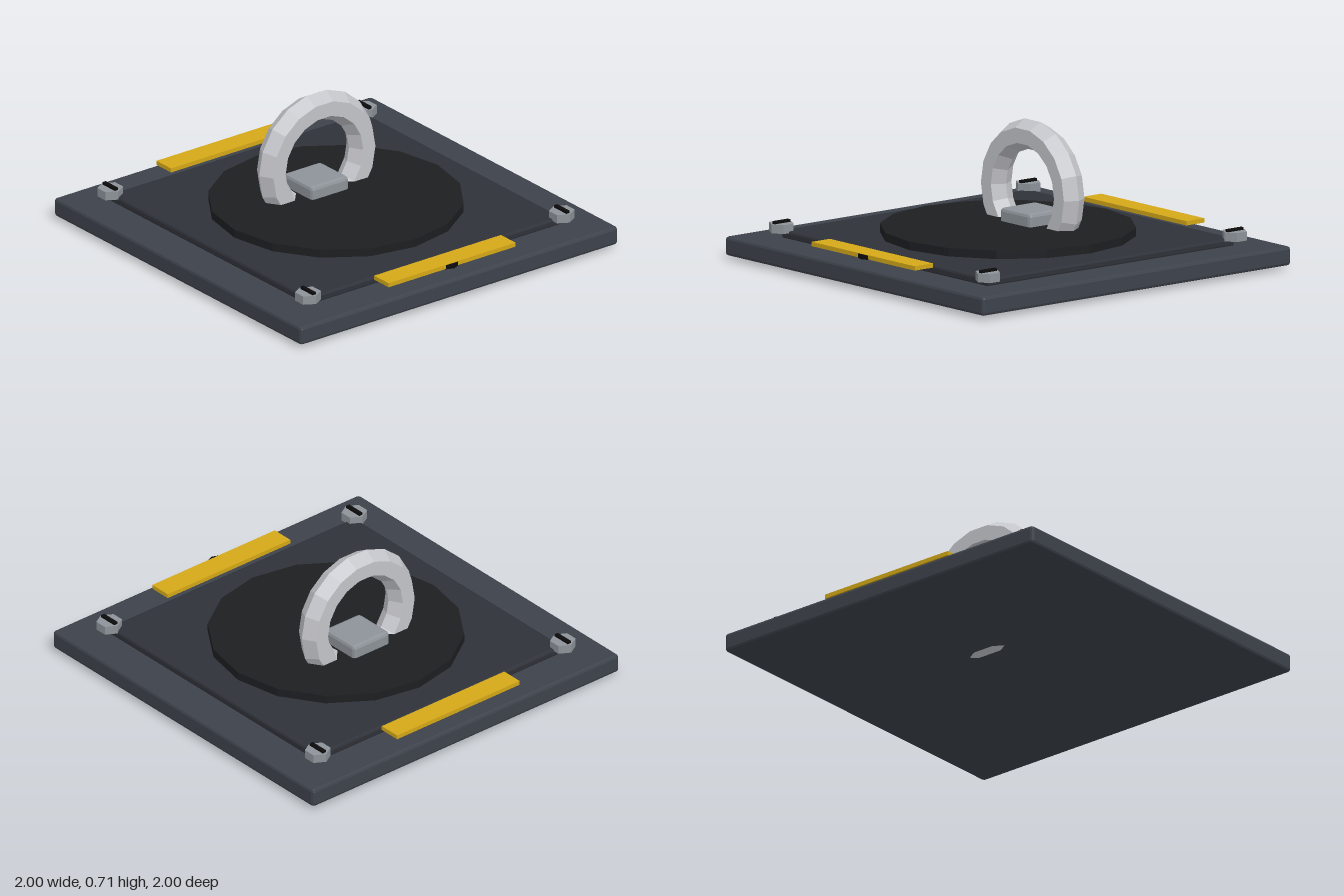
import * as THREE from 'three';
import { RoundedBoxGeometry } from 'three/addons/geometries/RoundedBoxGeometry.js';

const mat = (color) => new THREE.MeshStandardMaterial({ color, flatShading: true });

export function createModel() {
  const group = new THREE.Group();
  const frame = mat(0x3d424b), panel = mat(0x2e3138), dark = mat(0x1c1e21);
  const black = mat(0x0c0c0d), steel = mat(0xc4c5ca), bracket = mat(0x8d9399), yellow = mat(0xd4a817);

  const add = (name, geometry, material, x, y, z, parent = group) => {
    const mesh = new THREE.Mesh(geometry, material);
    mesh.name = name;
    mesh.position.set(x, y, z);
    parent.add(mesh);
    return mesh;
  };
  // Softened box spanning y0 to y1
  const slab = (name, w, y0, y1, d, r, material, z = 0) =>
    add(name, new RoundedBoxGeometry(w, y1 - y0, d, 1, r), material, 0, (y0 + y1) / 2, z);

  // Stacked plates and the round pad
  slab('basePlate', 2, 0.02, 0.117, 2, 0.015, frame);
  slab('innerPlate', 1.6, 0.11, 0.155, 1.6, 0.012, panel);
  add('roundPad', new THREE.CylinderGeometry(0.64, 0.64, 0.05, 16), dark, 0, 0.173, 0);

  // Lifting ring passing through its clamp and the plates
  add('liftingRing', new THREE.TorusGeometry(0.283, 0.077, 6, 18), steel, 0, 0.356, -0.16);
  slab('ringClamp', 0.235, 0.15, 0.265, 0.235, 0.018, bracket, -0.16);

  // Slotted hex bolts at the corners
  for (const x of [-0.8, 0.8]) {
    for (const z of [-0.8, 0.8]) {
      const bolt = new THREE.Group();
      bolt.name = 'cornerBolt';
      bolt.position.set(x, 0.168, z);
      add('boltHead', new THREE.CylinderGeometry(0.065, 0.065, 0.045, 6), bracket, 0, 0, 0, bolt);
      add('boltSlot', new THREE.BoxGeometry(0.02, 0.025, 0.1), black, 0, 0.023, 0, bolt);
      group.add(bolt);
    }
  }

  // Warning strips at front and back
  for (const z of [-0.88, 0.88]) {
    add('warningStrip', new THREE.BoxGeometry(0.8, 0.022, 0.118), yellow, 0, 0.163, z);
  }
  // Small marker under the front strip's edge
  add('frontMarker', new THREE.CylinderGeometry(0.06, 0.06, 0.022, 8), black, 0, 0.161, 0.895);

  return group;
}
